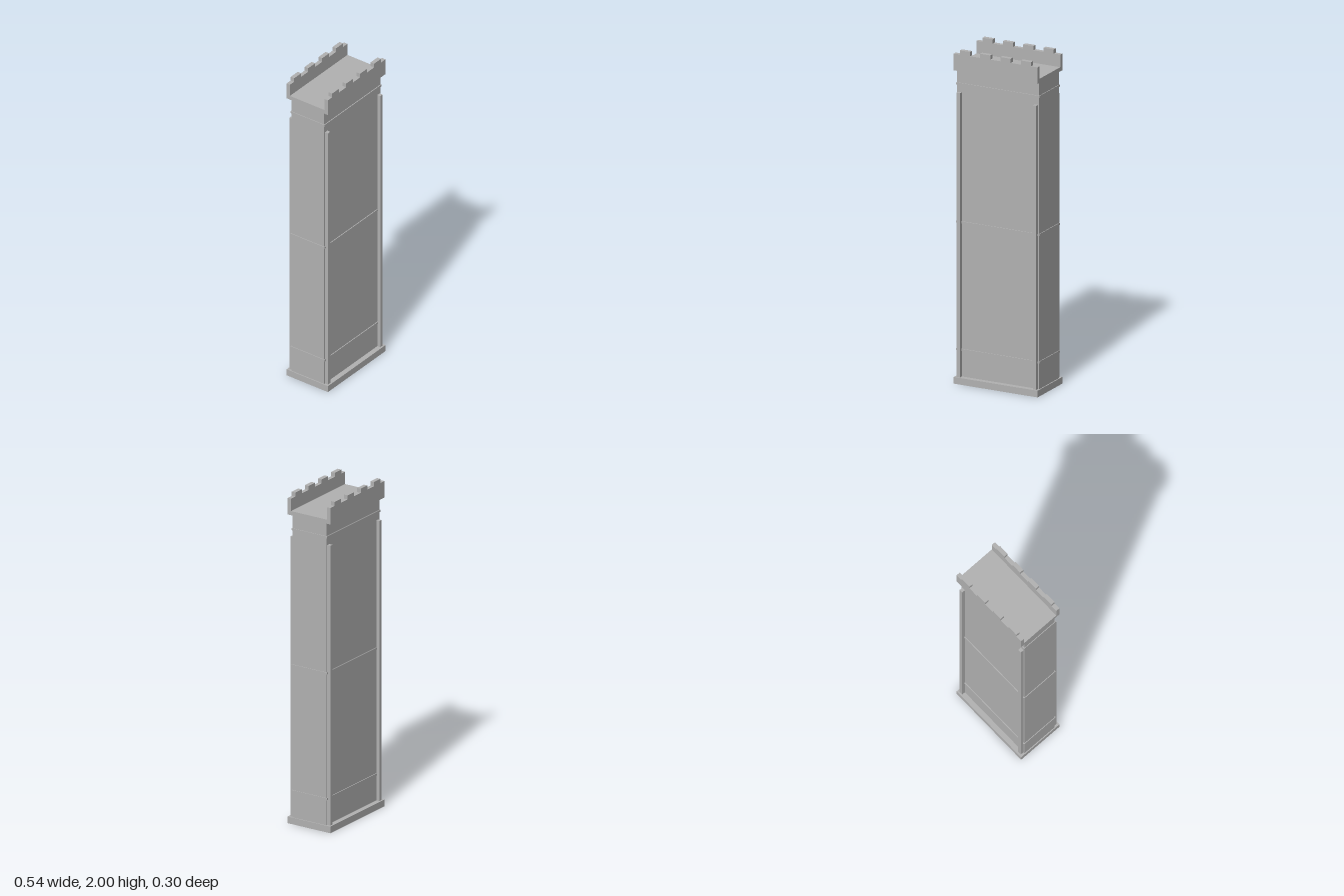
import * as THREE from 'three';

const stone = new THREE.MeshStandardMaterial({ color: 0xb2b2b2 });
stone.name = 'grey stone';

export function createModel() {
  const model = new THREE.Group();
  model.name = 'crenellatedTower';

  // box given by its extents along each axis
  const box = (name, x0, x1, y0, y1, z0, z1) => {
    const mesh = new THREE.Mesh(new THREE.BoxGeometry(x1 - x0, y1 - y0, z1 - z0), stone);
    mesh.position.set((x0 + x1) / 2, (y0 + y1) / 2, (z0 + z1) / 2);
    mesh.name = name;
    model.add(mesh);
  };

  // plinth, shaft and roof slab
  box('plinth', -0.272, 0.272, 0, 0.04, -0.148, 0.148);
  box('shaft', -0.266, 0.266, 0.04, 1.875, -0.117, 0.117);
  box('roofSlab', -0.272, 0.272, 1.875, 1.9, -0.148, 0.148);

  // thin string courses around the shaft
  for (const y of [0.2, 0.963, 1.79]) {
    box('stringCourse', -0.27, 0.27, y - 0.006, y + 0.006, -0.122, 0.122);
  }

  for (const side of [-1, 1]) {
    const span = (a, b) => (side > 0 ? [a, b] : [-b, -a]);

    // corner pilasters
    for (const x of [-0.247, 0.247]) {
      box('pilaster', x - 0.011, x + 0.011, 0.04, 1.74, ...span(0.11, 0.138));
    }

    // parapet with four merlons, front and back
    box('parapet', -0.272, 0.272, 1.9, 1.975, ...span(0.124, 0.148));
    for (let i = 0; i < 4; i++) {
      const x = -0.199 + i * 0.132;
      box('merlon', x - 0.033, x + 0.033, 1.975, 2, ...span(0.123, 0.148));
    }
  }
  return model;
}
